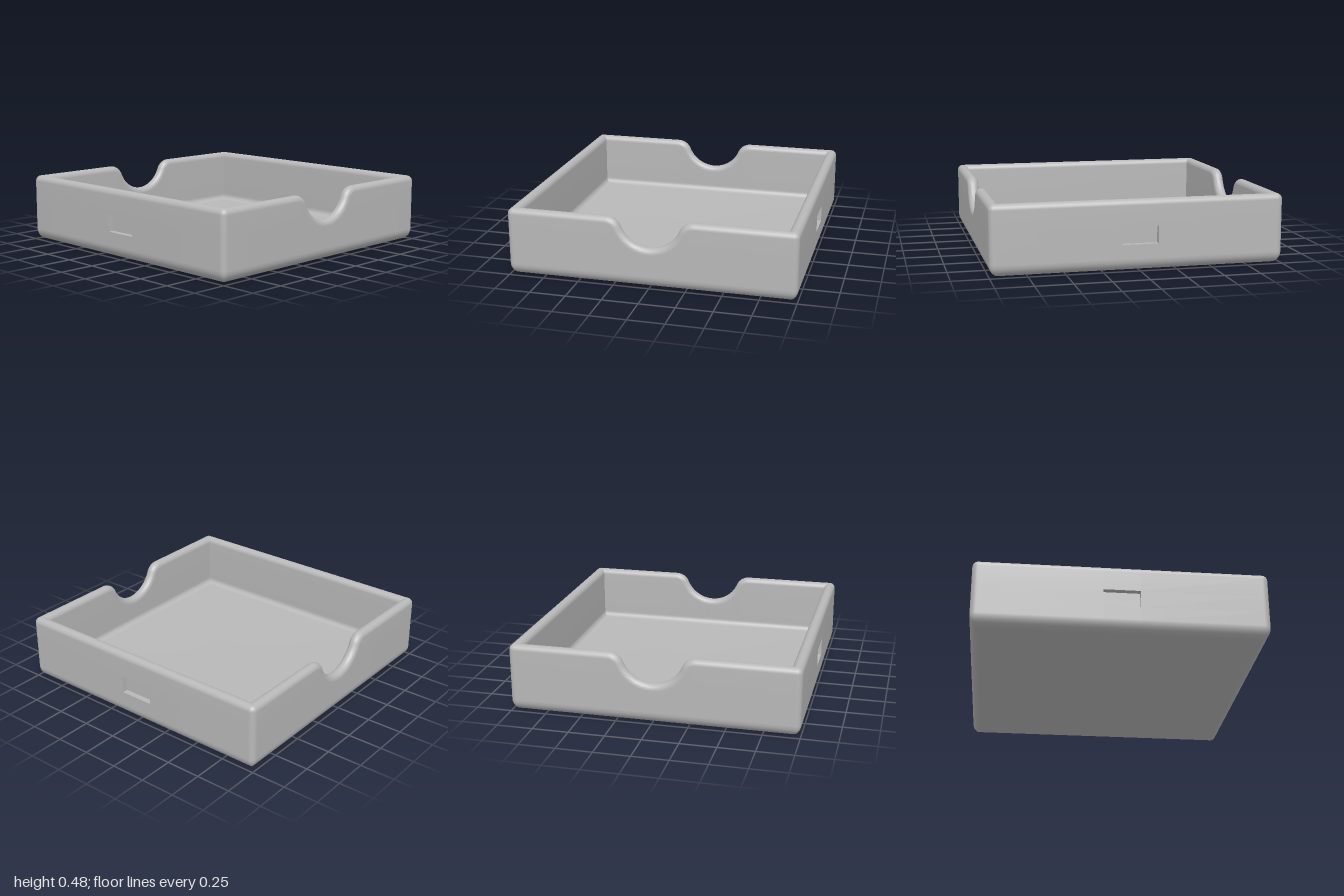
import * as THREE from 'three';
import { toCreasedNormals } from 'three/addons/utils/BufferGeometryUtils.js';

const H = 0.48, WALL = 0.08, RIM = 0.04, FLOOR = 0.08, CORNER = 0.04;
const POCKET = { half: 0.125, low: 0.18, high: 0.3, depth: 0.04 };
const STEPS = 8;

// Cross-section from under the base, up the outside, over the rim, down to the floor.
// e = inset from the outer face, y = height, d = depth below the rim line.
function makeProfile() {
  const p = [{ centre: true, y: 0 }, { e: 0.085, y: 0 }];
  for (let i = 0; i <= STEPS; i++) {
    const a = (i / STEPS) * Math.PI / 2;
    p.push({ e: 0.08 * (1 - Math.sin(a)), y: 0.08 * (1 - Math.cos(a)) });
  }
  p.push({ e: 0, y: 0.085 }, { e: 0, y: POCKET.low }, { e: 0, y: POCKET.high }, { e: 0, d: RIM + 0.005 });
  for (let i = 0; i <= STEPS * 2; i++) {
    const a = (i / (STEPS * 2)) * Math.PI;
    p.push({ e: (WALL / 2) * (1 - Math.cos(a)), d: RIM * (1 - Math.sin(a)) });
  }
  p.push({ e: WALL, d: RIM + 0.005 }, { e: WALL, y: 0.125 });
  for (let i = 0; i <= STEPS; i++) {
    const a = (i / STEPS) * Math.PI / 2;
    p.push({ e: WALL + 0.04 * (1 - Math.cos(a)), y: FLOOR + 0.04 * (1 - Math.sin(a)) });
  }
  p.push({ e: 0.125, y: FLOOR }, { centre: true, y: FLOOR });
  return p;
}

// Right half of the finger notch: concave arc, then a rounded shoulder
function notchHalf() {
  const drop = 0.2, reach = 0.3, th = 2 * Math.atan(drop / reach);
  const R = 0.22, r = reach / Math.sin(th) - R, pts = [];
  for (let i = 0; i <= 14; i++) {
    const a = th * i / 14;
    pts.push({ z: R * Math.sin(a), y: H - drop + R * (1 - Math.cos(a)), a });
  }
  for (let i = 9; i >= 0; i--) {
    const a = th * i / 10;
    pts.push({ z: reach - r * Math.sin(a), y: H - r * (1 - Math.cos(a)), a });
  }
  pts.push({ z: reach + 0.005, y: H, a: 0 });
  return pts;
}

// Columns along one side, corner to corner
function makeColumns(notched) {
  const half = notched ? notchHalf() : [{ z: POCKET.half, y: H, a: 0 }];
  half.push({ z: 0.955, y: H, a: 0, support: true });
  for (let i = 0; i <= 4; i++) half.push({ corner: (i / 4) * Math.PI / 4, y: H, a: 0 });
  const mirrored = half.slice(notched ? 1 : 0).reverse().map(c => ({ ...c, flip: true }));
  return [...mirrored, ...half];
}

// Point of one column on one profile step, for the side facing +x
function sidePoint(c, p) {
  if (p.centre) return new THREE.Vector3(0, p.y, 0);
  const r = Math.max(CORNER - p.e, 0);
  let x = 1 - p.e, z = c.z, y = p.y;
  if (c.corner !== undefined) {
    x = 1 - p.e - r + r * Math.cos(c.corner);
    z = 1 - p.e - r + r * Math.sin(c.corner);
  } else if (c.support) {
    z = Math.min(c.z, 1 - p.e - 0.005);
  }
  const below = d => [z + Math.sin(c.a) * d, c.y - Math.cos(c.a) * d];
  if (p.d !== undefined) {
    [z, y] = below(p.d);
  } else if (p.y > 0.13) {
    // walls are blended between the base and the rim line
    const [qz, qy] = below(RIM + 0.005);
    const t = (p.y - 0.13) / (H - RIM - 0.005 - 0.13);
    z += (qz - z) * t;
    y = 0.13 + (qy - 0.13) * t;
  }
  return new THREE.Vector3(x, y, c.flip ? -z : z);
}

function quad(out, a, b, c, d) {
  for (const v of [a, b, c, c, b, d]) out.push(v.x, v.y, v.z);
}

function toGeometry(positions) {
  const g = new THREE.BufferGeometry();
  g.setAttribute('position', new THREE.Float32BufferAttribute(positions, 3));
  return toCreasedNormals(g, 0.6);
}

export function createModel() {
  const group = new THREE.Group();
  const grey = new THREE.MeshStandardMaterial({ color: 0xb8b8b8 });
  grey.name = 'grey';
  const profile = makeProfile();

  // Tray shell: four sides joined at the corners
  const shell = [];
  for (let k = 0; k < 4; k++) {
    const notched = k % 2 === 0;
    const cols = makeColumns(notched);
    const up = new THREE.Vector3(0, 1, 0);
    const grid = cols.map(c => profile.map(p => sidePoint(c, p).applyAxisAngle(up, k * Math.PI / 2)));
    for (let i = 0; i < cols.length - 1; i++) {
      for (let j = 0; j < profile.length - 1; j++) {
        const opening = !notched && cols[i].z === POCKET.half && cols[i + 1].z === POCKET.half
          && profile[j].y === POCKET.low && profile[j + 1].y === POCKET.high;
        if (!opening) quad(shell, grid[i][j], grid[i][j + 1], grid[i + 1][j], grid[i + 1][j + 1]);
      }
    }
  }
  const tray = new THREE.Mesh(toGeometry(shell), grey);
  tray.name = 'trayShell';
  group.add(tray);

  // Shallow rectangular label recess on the front and back
  const { half, low, high, depth } = POCKET;
  const corners = z => [[-half, low], [half, low], [half, high], [-half, high]]
    .map(([x, y]) => new THREE.Vector3(x, y, z));
  const f = corners(1), b = corners(1 - depth), pocket = [];
  quad(pocket, b[0], b[1], b[3], b[2]);
  for (let i = 0; i < 4; i++) {
    const n = (i + 1) % 4;
    quad(pocket, f[i], f[n], b[i], b[n]);
  }
  const pocketGeometry = toGeometry(pocket);
  ['frontRecess', 'backRecess'].forEach((name, i) => {
    const m = new THREE.Mesh(pocketGeometry, grey);
    m.name = name;
    m.rotation.y = i * Math.PI;
    group.add(m);
  });
  return group;
}
